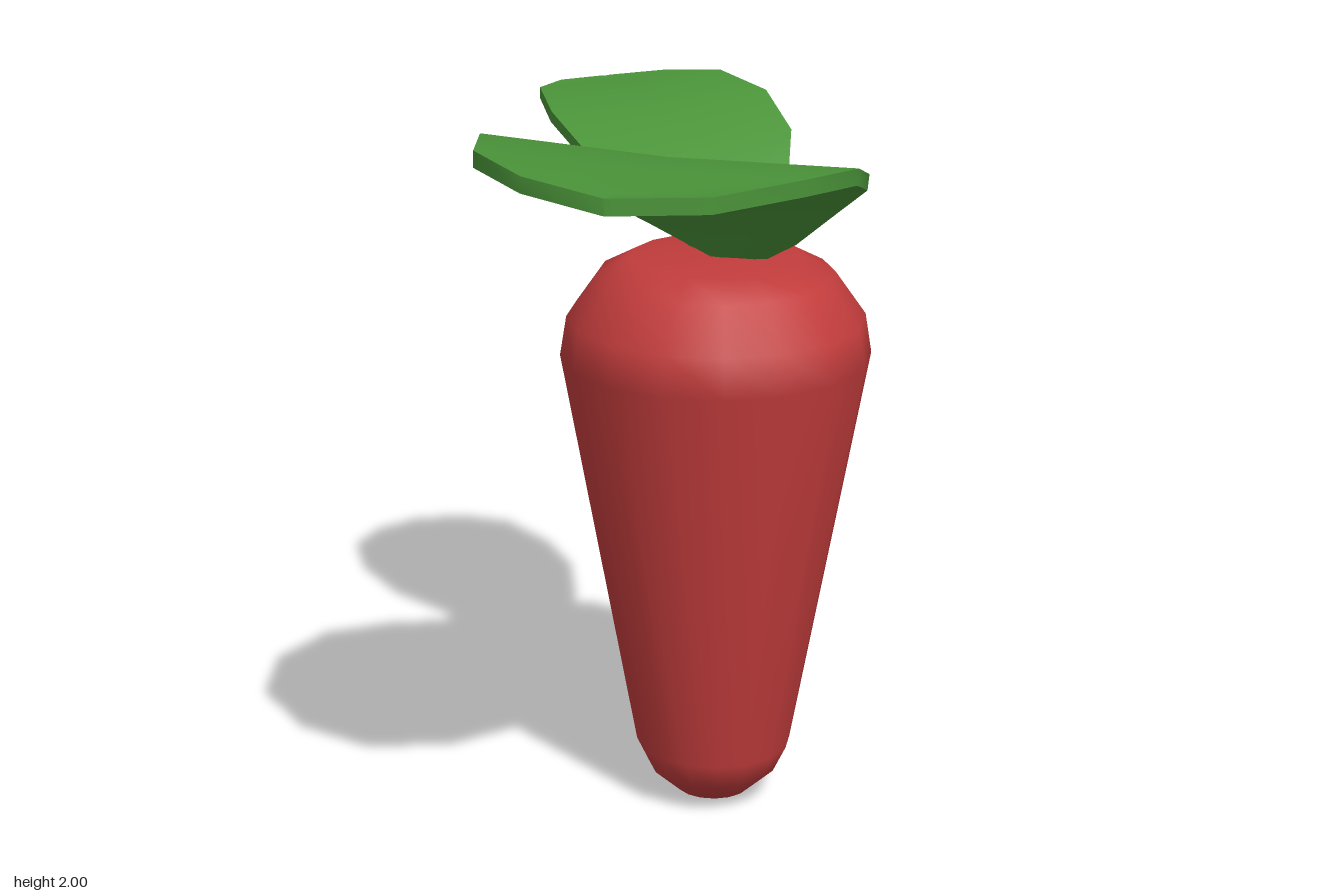
import * as THREE from 'three';
import { toCreasedNormals } from 'three/addons/utils/BufferGeometryUtils.js';

// Thick leaf lofted from rows of [left x,y,z, right x,y,z], base to tip
function leafGeometry(rows, thickness, sag) {
  const tops = rows.map(r => {
    const L = new THREE.Vector3(r[0], r[1], r[2]);
    const R = new THREE.Vector3(r[3], r[4], r[5]);
    const M = L.clone().add(R).multiplyScalar(0.5);
    M.y -= sag * Math.min(1, L.distanceTo(R) * 3);
    return [L, M, R];
  });
  // closed cross-section: left, midrib, right, then back along the underside
  const rings = tops.map((row, i) => {
    const next = tops[Math.min(i + 1, tops.length - 1)][1];
    const prev = tops[Math.max(i - 1, 0)][1];
    const across = row[2].clone().sub(row[0]);
    const normal = across.cross(next.clone().sub(prev)).normalize();
    const under = row.map(p => p.clone().addScaledVector(normal, -thickness));
    return [...row, under[2], under[1], under[0]];
  });

  const pos = [];
  const quad = (a, b, c, d) => [a, b, c, a, c, d].forEach(p => pos.push(p.x, p.y, p.z));
  for (let i = 0; i < rings.length - 1; i++) {
    for (let j = 0; j < 6; j++) {
      const k = (j + 1) % 6;
      quad(rings[i][j], rings[i][k], rings[i + 1][k], rings[i + 1][j]);
    }
  }
  // close the base and the tip
  const [L, M, R, Rb, Mb, Lb] = rings[0];
  quad(L, Lb, Mb, M);
  quad(M, Mb, Rb, R);
  const [tL, tM, tR, tRb, tMb, tLb] = rings[rings.length - 1];
  quad(tM, tMb, tLb, tL);
  quad(tR, tRb, tMb, tM);

  const geo = new THREE.BufferGeometry();
  geo.setAttribute('position', new THREE.Float32BufferAttribute(pos, 3));
  return toCreasedNormals(geo, 0.7);
}

export function createModel() {
  const model = new THREE.Group();
  model.name = 'rootVegetable';

  const red = new THREE.MeshStandardMaterial({ color: 0xc23c3c });
  red.name = 'rootRed';
  const green = new THREE.MeshStandardMaterial({ color: 0x4a9339 });
  green.name = 'leafGreen';

  const add = (name, geometry, material) => {
    const mesh = new THREE.Mesh(geometry, material);
    mesh.name = name;
    model.add(mesh);
    return mesh;
  };

  // Tapered root with rounded ends
  const profile = [
    [0, 0], [0.1, 0.02], [0.172, 0.085], [0.208, 0.16], [0.408, 1.255],
    [0.391, 1.36], [0.31, 1.475], [0.225, 1.52], [0, 1.52],
  ].map(p => new THREE.Vector2(...p));
  add('root', new THREE.LatheGeometry(profile, 16), red).position.set(0.228, 0, -0.112);

  // Large leaf, arching forward and to the right
  add('largeLeaf', leafGeometry([
    [0.34, 1.53, -0.08, 0.25, 1.53, -0.13],
    [0.38, 1.61, 0.06, 0.08, 1.64, -0.185],
    [0.395, 1.735, 0.24, -0.11, 1.755, -0.155],
    [0.342, 1.865, 0.5, -0.33, 1.89, -0.05],
    [0.19, 1.947, 0.73, -0.525, 1.975, 0.15],
    [-0.03, 1.98, 0.89, -0.64, 2.0, 0.4],
    [-0.28, 1.975, 0.93, -0.625, 1.995, 0.65],
    [-0.49, 1.975, 0.845, -0.505, 1.975, 0.835],
  ], 0.04, 0.015), green);

  // Small leaf, arching backward, symmetric about its midrib
  const smallRows = [
    [0.03, 1.53, -0.1], [0.11, 1.565, -0.135], [0.215, 1.655, -0.235],
    [0.3, 1.76, -0.388], [0.317, 1.828, -0.577], [0.27, 1.85, -0.77],
    [0.155, 1.835, -0.895], [0.01, 1.825, -0.94],
  ].map(([w, y, z]) => [0.28 - w, y, z, 0.28 + w, y, z]);
  add('smallLeaf', leafGeometry(smallRows, 0.03, 0.015), green);

  return model;
}
